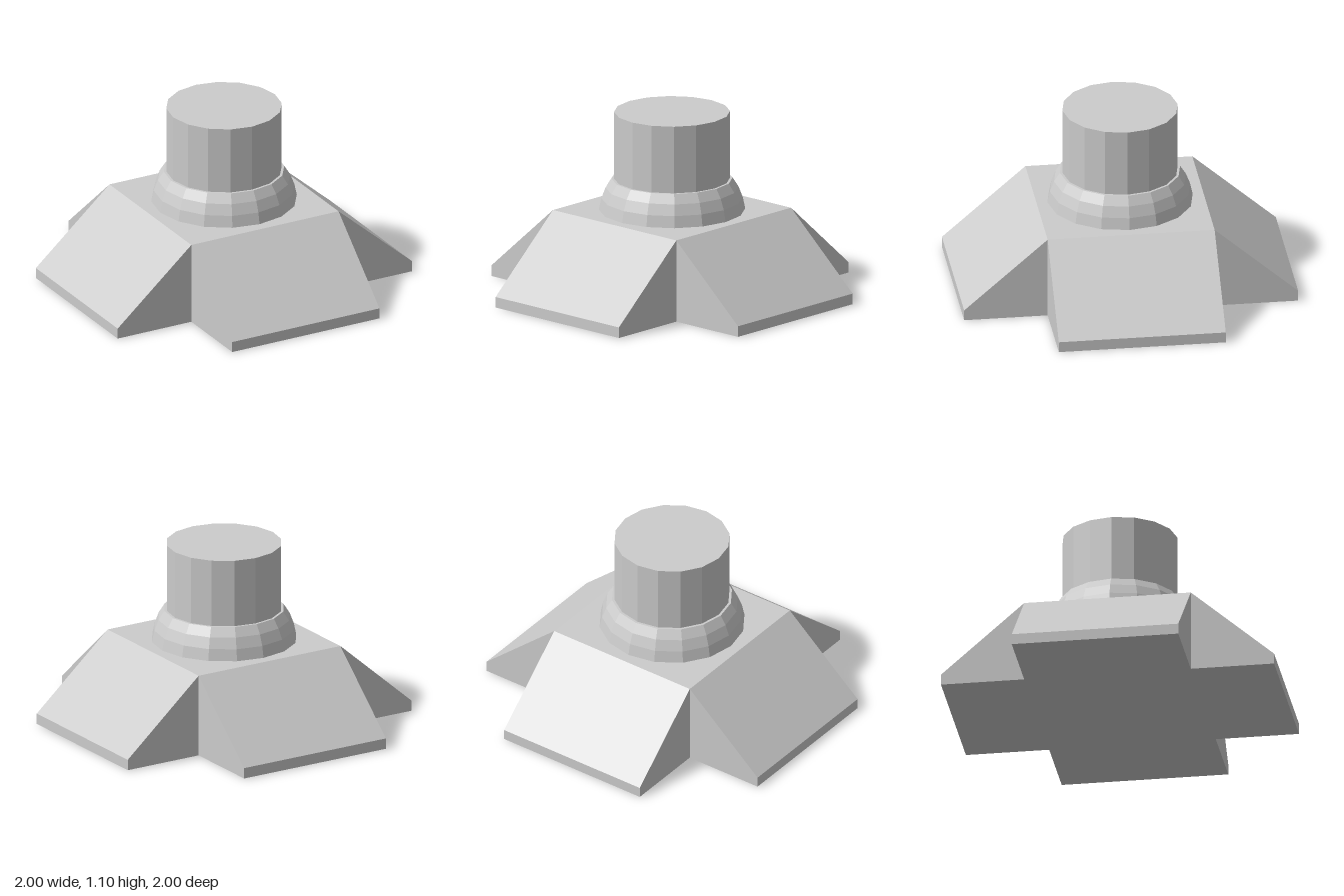
import * as THREE from 'three';

const SIDES = 16;

export function createModel() {
  const model = new THREE.Group();
  const material = new THREE.MeshStandardMaterial({ color: 0xcccccc, flatShading: true });

  const add = (name, geometry, parent = model) => {
    const mesh = new THREE.Mesh(geometry, material);
    mesh.name = name;
    parent.add(mesh);
    return mesh;
  };

  // Cross-shaped base: square core with a sloped foot on each side
  const base = new THREE.Group();
  base.name = 'base';
  model.add(base);
  add('core', new THREE.BoxGeometry(1, 0.5, 1), base).position.y = 0.25;

  const profile = new THREE.Shape([
    new THREE.Vector2(0.5, 0),
    new THREE.Vector2(1, 0),
    new THREE.Vector2(1, 0.065),
    new THREE.Vector2(0.5, 0.5),
  ]);
  const footGeometry = new THREE.ExtrudeGeometry(profile, { depth: 1, bevelEnabled: false });
  footGeometry.translate(0, 0, -0.5);
  ['leftFoot', 'backFoot', 'rightFoot', 'frontFoot'].forEach((name, i) => {
    add(name, footGeometry, base).rotation.y = i * Math.PI / 2;
  });

  // Rounded collar, closed on top
  const collar = [[0.435, 0.5], [0.42, 0.57], [0.395, 0.635], [0.36, 0.69], [0, 0.69]]
    .map(([r, y]) => new THREE.Vector2(r, y));
  add('collar', new THREE.LatheGeometry(collar, SIDES));

  // Faceted column
  add('column', new THREE.CylinderGeometry(0.345, 0.345, 0.6, SIDES)).position.y = 0.8;

  return model;
}
